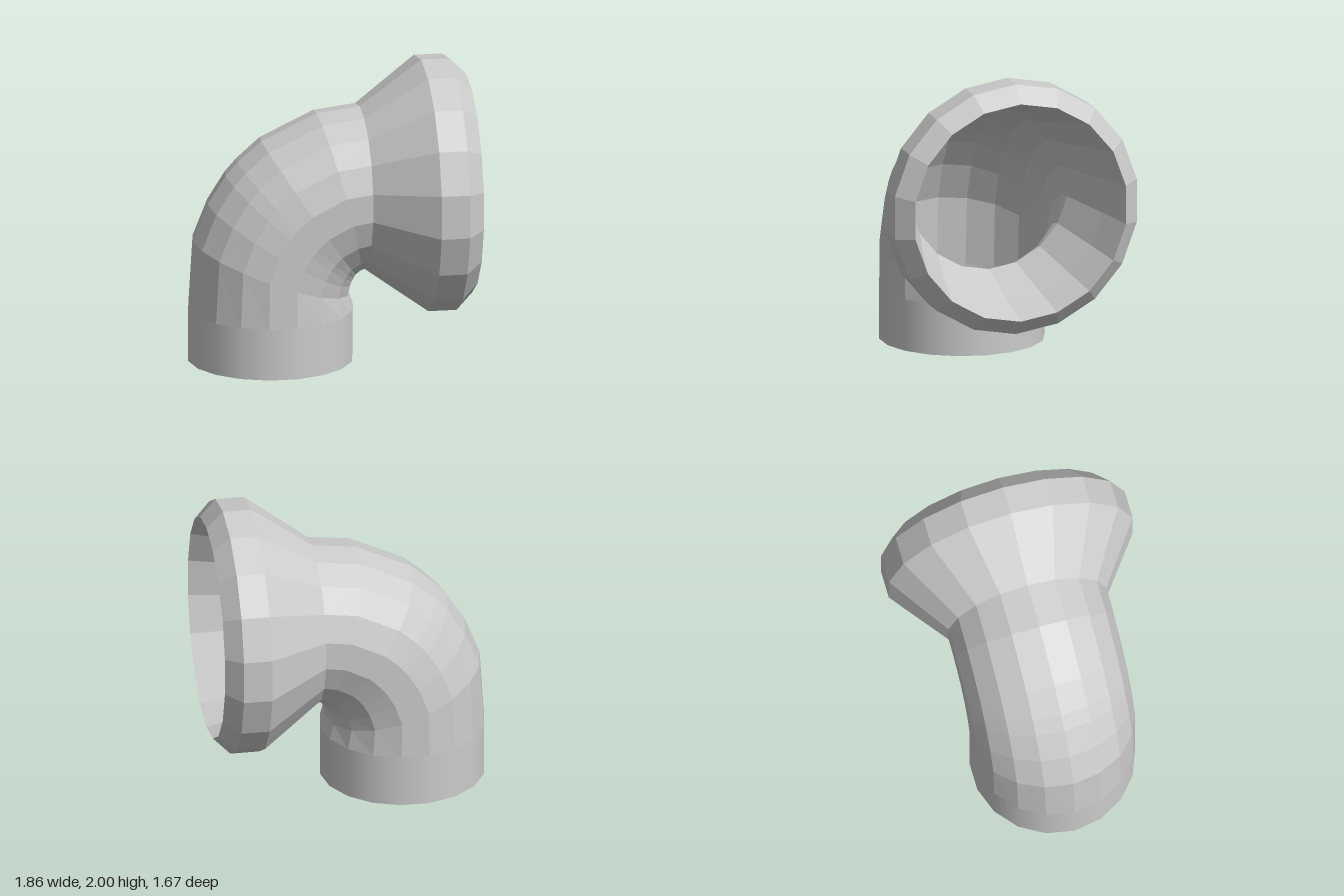
import * as THREE from 'three';

const SIDES = 18;
const MOUTH_Y = 1.15;

// Oval ring spanning from an outer to an inner point of the side profile.
function ring([ox, oy], [ix, iy], halfDepth) {
  const points = [];
  for (let j = 0; j < SIDES; j++) {
    const a = (j / SIDES) * Math.PI * 2;
    const t = (1 + Math.cos(a)) / 2;
    points.push([ix + (ox - ix) * t, iy + (oy - iy) * t, Math.sin(a) * halfDepth]);
  }
  return points;
}

// Skin a series of rings with quads.
function loft(rings) {
  const index = [];
  for (let i = 0; i < rings.length - 1; i++) {
    for (let j = 0; j < SIDES; j++) {
      const k = (j + 1) % SIDES;
      const a = i * SIDES + j, b = i * SIDES + k;
      const c = a + SIDES, d = b + SIDES;
      index.push(a, b, c, b, d, c);
    }
  }
  const geometry = new THREE.BufferGeometry();
  geometry.setAttribute('position', new THREE.Float32BufferAttribute(rings.flat(2), 3));
  geometry.setIndex(index);
  geometry.computeVertexNormals();
  return geometry;
}

export function createModel() {
  const group = new THREE.Group();
  const smooth = new THREE.MeshStandardMaterial({ color: 0xcccccc, side: THREE.DoubleSide });
  const faceted = new THREE.MeshStandardMaterial({ color: 0xcccccc, side: THREE.DoubleSide, flatShading: true });

  const add = (name, geometry, material) => {
    const mesh = new THREE.Mesh(geometry, material);
    mesh.name = name;
    group.add(mesh);
    return mesh;
  };

  // Upright collar with a closed underside
  const collar = add('baseCollar',
    new THREE.CylinderGeometry(0.55, 0.55, 0.35, SIDES, 1, true, Math.PI / 2), smooth);
  collar.position.set(-0.38, 0.175, 0);
  const floor = add('baseFloor', new THREE.CircleGeometry(0.55, SIDES), smooth);
  floor.rotation.x = Math.PI / 2;
  floor.position.set(-0.38, 0, 0);

  // Bent pipe: outer and inner side profiles of the bend
  const outer = [[-0.93, 0.35], [-0.9, 0.82], [-0.8, 1.07], [-0.68, 1.26],
    [-0.6, 1.35], [-0.44, 1.49], [-0.07, 1.665], [0.22, 1.7]];
  const inner = [[0.17, 0.35], [0.14, 0.44], [0.15, 0.5], [0.16, 0.53],
    [0.17, 0.55], [0.18, 0.57], [0.2, 0.59], [0.22, 0.6]];
  add('elbow', loft(outer.map((p, i) => ring(p, inner[i], 0.55))), faceted);

  // Flared mouth: outer skin, rolled lip, then the inner skin back to the throat
  const mouth = [[0.22, 0.55], [0.63, 0.85], [0.82, 0.85], [0.93, 0.74], [0.64, 0.67], [0.22, 0.55]];
  add('flaredMouth',
    loft(mouth.map(([x, r]) => ring([x, MOUTH_Y + r], [x, MOUTH_Y - r], r))), faceted);

  return group;
}
